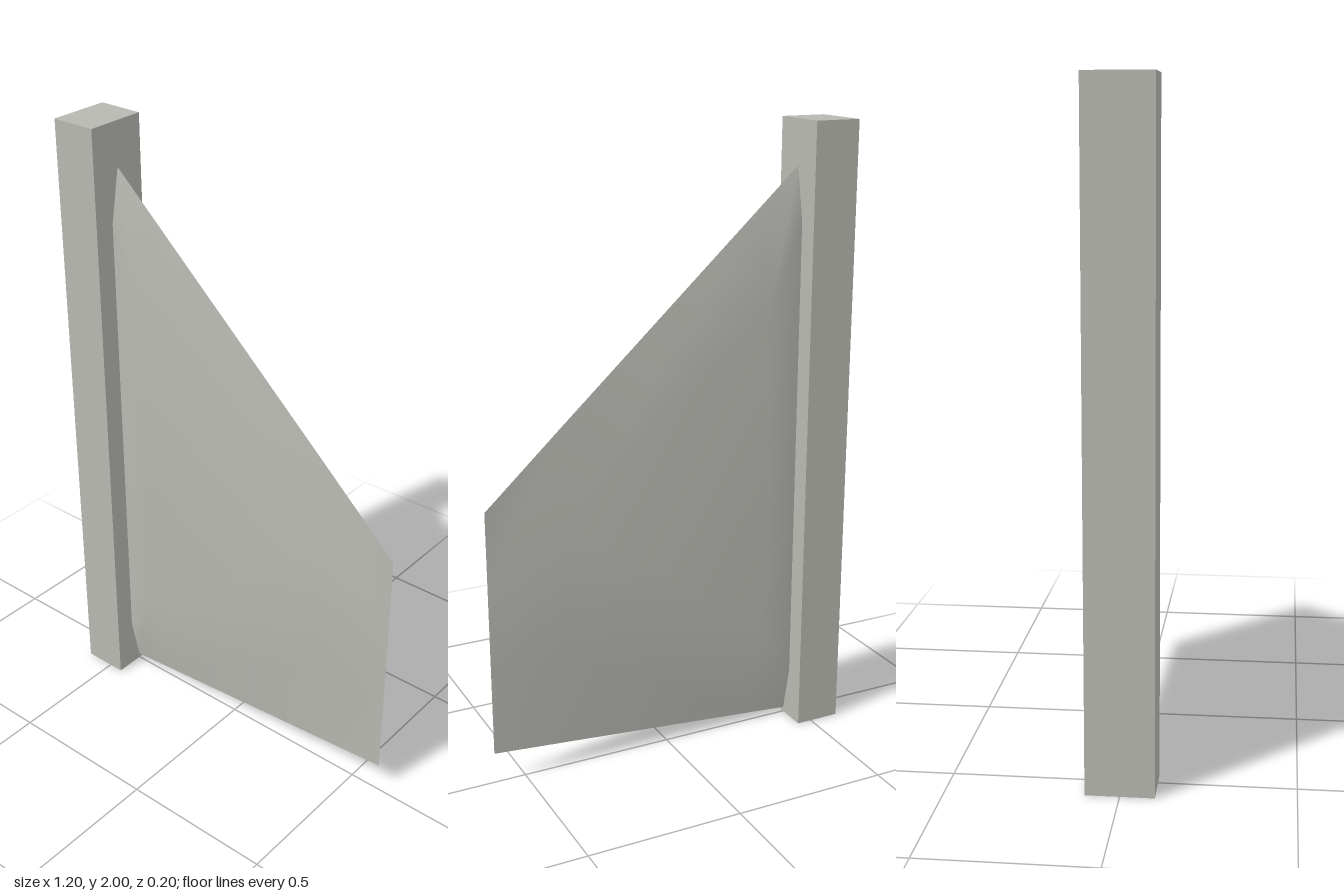
import * as THREE from 'three';

// Fin stations from root to tip: x, half thickness, and four heights (edge, inner, inner, edge)
const STATIONS = [
  { x: -0.45, t: 0.032, y: [0.015, 0.17, 1.69, 1.86] },
  { x: -0.33, t: 0.055, y: [0.025, 0.34, 1.44, 1.75] },
  { x: 0.35, t: 0.024, y: [0.08, 0.4, 0.83, 1.13] },
  { x: 0.6, t: 0, y: [0.1, 0.38, 0.64, 0.9] },
];

// One bulging side of the fin; side is +1 for front, -1 for back
function finSide(side) {
  const positions = [];
  const index = [];
  for (const s of STATIONS) {
    s.y.forEach((y, j) => positions.push(s.x, y, j === 1 || j === 2 ? side * s.t : 0));
  }
  for (let i = 0; i < 3; i++) {
    for (let j = 0; j < 3; j++) {
      const a = i * 4 + j, b = a + 4, c = b + 1, d = a + 1;
      // split corner cells toward the thin edge so the bulge stays convex
      const tris = j === 2 ? [[a, b, d], [b, c, d]] : [[a, b, c], [a, c, d]];
      for (const [p, q, r] of tris) index.push(...(side > 0 ? [p, q, r] : [p, r, q]));
    }
  }
  const g = new THREE.BufferGeometry();
  g.setAttribute('position', new THREE.Float32BufferAttribute(positions, 3));
  g.setIndex(index);
  g.computeVertexNormals();
  return g;
}

export function createModel() {
  const model = new THREE.Group();
  model.name = 'finOnPost';
  const grey = new THREE.MeshStandardMaterial({ color: 0xb8b8b2 });
  grey.name = 'warm grey';

  // Upright square post
  const post = new THREE.Mesh(new THREE.BoxGeometry(0.15, 2, 0.2), grey);
  post.name = 'post';
  post.position.set(-0.525, 1, 0);
  model.add(post);

  // Tapered fin, two mirrored sides meeting at sharp edges
  const fin = new THREE.Group();
  fin.name = 'fin';
  for (const side of [1, -1]) {
    const mesh = new THREE.Mesh(finSide(side), grey);
    mesh.name = side > 0 ? 'finFront' : 'finBack';
    fin.add(mesh);
  }
  model.add(fin);
  return model;
}
